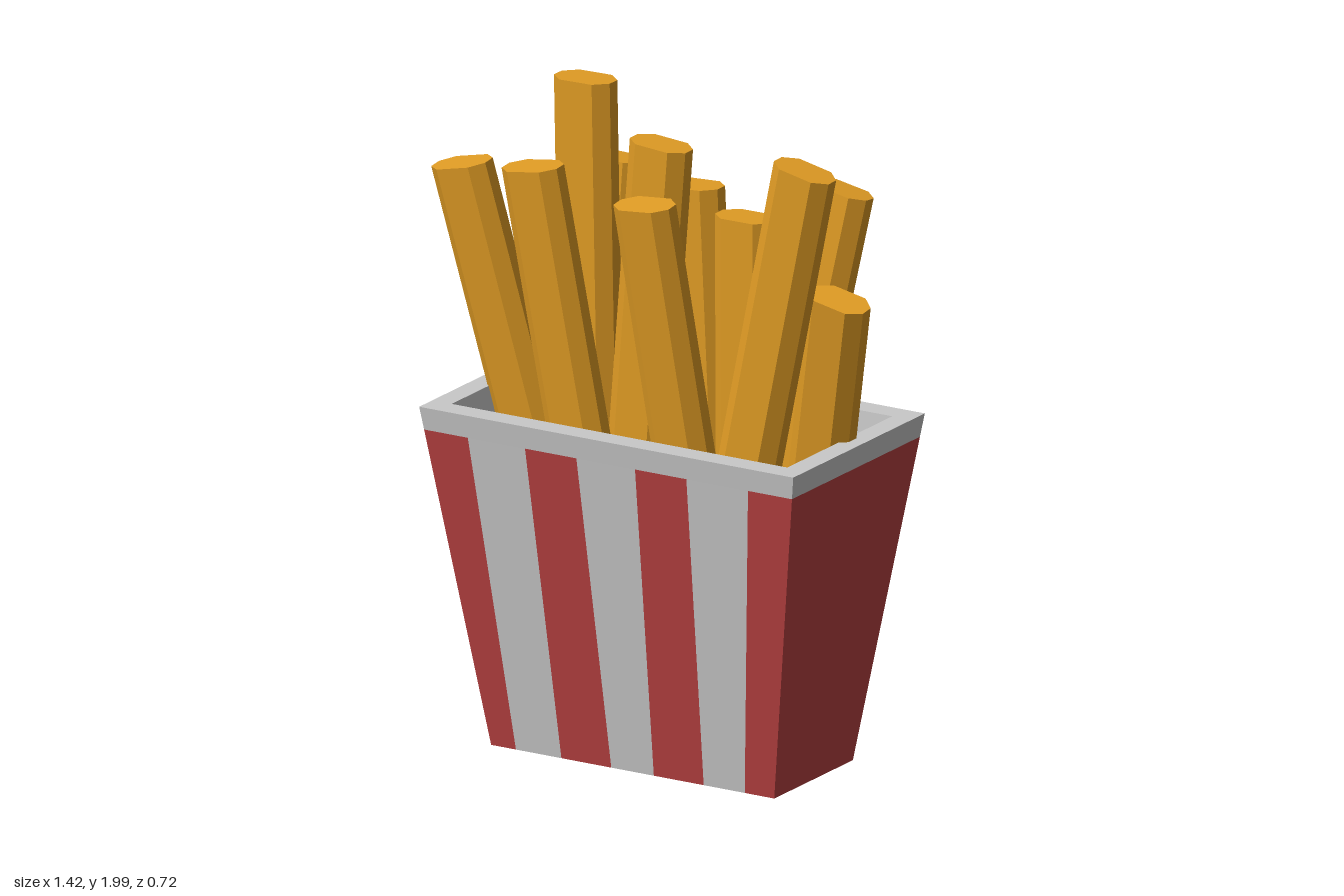
import * as THREE from 'three';

const red = new THREE.MeshStandardMaterial({ color: 0xb84141 });
red.name = 'carton red';
const white = new THREE.MeshStandardMaterial({ color: 0xc9c9c9 });
white.name = 'carton white';
const gold = new THREE.MeshStandardMaterial({ color: 0xdf9b24 });
gold.name = 'fry gold';

const CX = 0.018; // carton centre in x

// Four corners of a level rectangle, counter-clockwise seen from above
function ring(hx, hz, y) {
  return [[-hx, hz], [hx, hz], [hx, -hz], [-hx, -hz]].map(([x, z]) => [CX + x, y, z]);
}

// Mesh made of flat quads, each with corners counter-clockwise from its front
function quadMesh(name, quads, material) {
  const pos = [];
  for (const [a, b, c, d] of quads) pos.push(...a, ...b, ...c, ...a, ...c, ...d);
  const g = new THREE.BufferGeometry();
  g.setAttribute('position', new THREE.Float32BufferAttribute(pos, 3));
  g.computeVertexNormals();
  const m = new THREE.Mesh(g, material);
  m.name = name;
  return m;
}

// Wall quads joining two rings; facing outward when the first is the lower one
function band(a, b) {
  return a.map((p, i) => {
    const j = (i + 1) % 4;
    return [p, a[j], b[j], b[i]];
  });
}

function createCarton() {
  const carton = new THREE.Group();
  carton.name = 'carton';

  const base = ring(0.4825, 0.215, 0);
  const belowRim = ring(0.627, 0.35, 0.97);
  const top = ring(0.6375, 0.36, 1.04);
  const mouth = ring(0.572, 0.287, 1.04);
  const lining = ring(0.553, 0.277, 0.94);
  const floor = ring(0.38, 0.177, 0.06);

  // Striped front and back panels
  const xLow = [base[0][0], -0.38, -0.225, -0.055, 0.09, 0.26, 0.4, base[1][0]];
  const xHigh = [belowRim[0][0], -0.46, -0.265, -0.09, 0.11, 0.285, 0.495, belowRim[1][0]];
  const redQuads = [], whiteQuads = [];
  for (let i = 0; i < 7; i++) {
    const list = i % 2 ? whiteQuads : redQuads;
    const strip = (s) => [
      [xLow[i], 0, s * 0.215], [xLow[i + 1], 0, s * 0.215],
      [xHigh[i + 1], 0.97, s * 0.35], [xHigh[i], 0.97, s * 0.35]];
    list.push(strip(1), strip(-1).reverse());
  }
  carton.add(quadMesh('redStripes', redQuads, red));
  carton.add(quadMesh('whiteStripes', whiteQuads, white));

  // Plain sides, underside, inner walls and floor
  const walls = band(base, belowRim);
  carton.add(quadMesh('sidePanels', [walls[1], walls[3]], red));
  carton.add(quadMesh('underside', [[...base].reverse()], red));
  carton.add(quadMesh('innerWalls', band(lining, floor), red));
  carton.add(quadMesh('innerFloor', [floor], red));

  // White rim: outer band, flat top and inner lip
  carton.add(quadMesh('rim',
    [...band(belowRim, top), ...band(top, mouth), ...band(mouth, lining)], white));
  return carton;
}

// Straight stick with a chamfered rectangular section, from foot to tip
function createFry([tx, ty, tz, bx, by, bz]) {
  const w = 0.095, d = 0.056, cx = 0.04, cz = 0.035;
  const section = new THREE.Shape([
    [w, -d + cz], [w, d - cz], [w - cx, d], [-w + cx, d],
    [-w, d - cz], [-w, -d + cz], [-w + cx, -d], [w - cx, -d],
  ].map(([x, y]) => new THREE.Vector2(x, y)));
  const foot = new THREE.Vector3(bx, by, bz);
  const axis = new THREE.Vector3(tx, ty, tz).sub(foot);
  const g = new THREE.ExtrudeGeometry(section, { depth: axis.length(), bevelEnabled: false });
  g.rotateX(-Math.PI / 2);
  const fry = new THREE.Mesh(g, gold);
  fry.name = 'fry';
  fry.position.copy(foot);
  fry.quaternion.setFromUnitVectors(new THREE.Vector3(0, 1, 0), axis.normalize());
  return fry;
}

export function createModel() {
  const model = new THREE.Group();
  model.name = 'cartonOfFries';
  model.add(createCarton());

  // Tip x, y, z then foot x, y, z
  const sticks = [
    [-0.62, 1.72, 0.125, -0.25, 0.1, -0.04],
    [-0.31, 1.79, 0.235, -0.06, 0.1, 0.11],
    [-0.295, 1.99, -0.03, -0.26, 0.1, -0.03],
    [0.01, 1.86, 0.045, -0.13, 0.1, 0.045],
    [0.01, 1.69, -0.13, 0.09, 0.1, -0.12],
    [-0.32, 1.69, -0.24, -0.36, 0.1, -0.11],
    [0.45, 1.72, -0.24, 0.16, 0.1, -0.09],
    [0.565, 1.9, 0.15, 0.18, 0.1, 0.12],
    [0.61, 1.485, 0.035, 0.36, 0.3, -0.15],
    [0.28, 1.675, 0.012, 0.29, 0.1, 0.02],
    [0.093, 1.75, 0.27, 0.25, 0.1, 0.06],
  ];
  const fries = new THREE.Group();
  fries.name = 'fries';
  sticks.forEach((s) => fries.add(createFry(s)));
  model.add(fries);
  return model;
}
